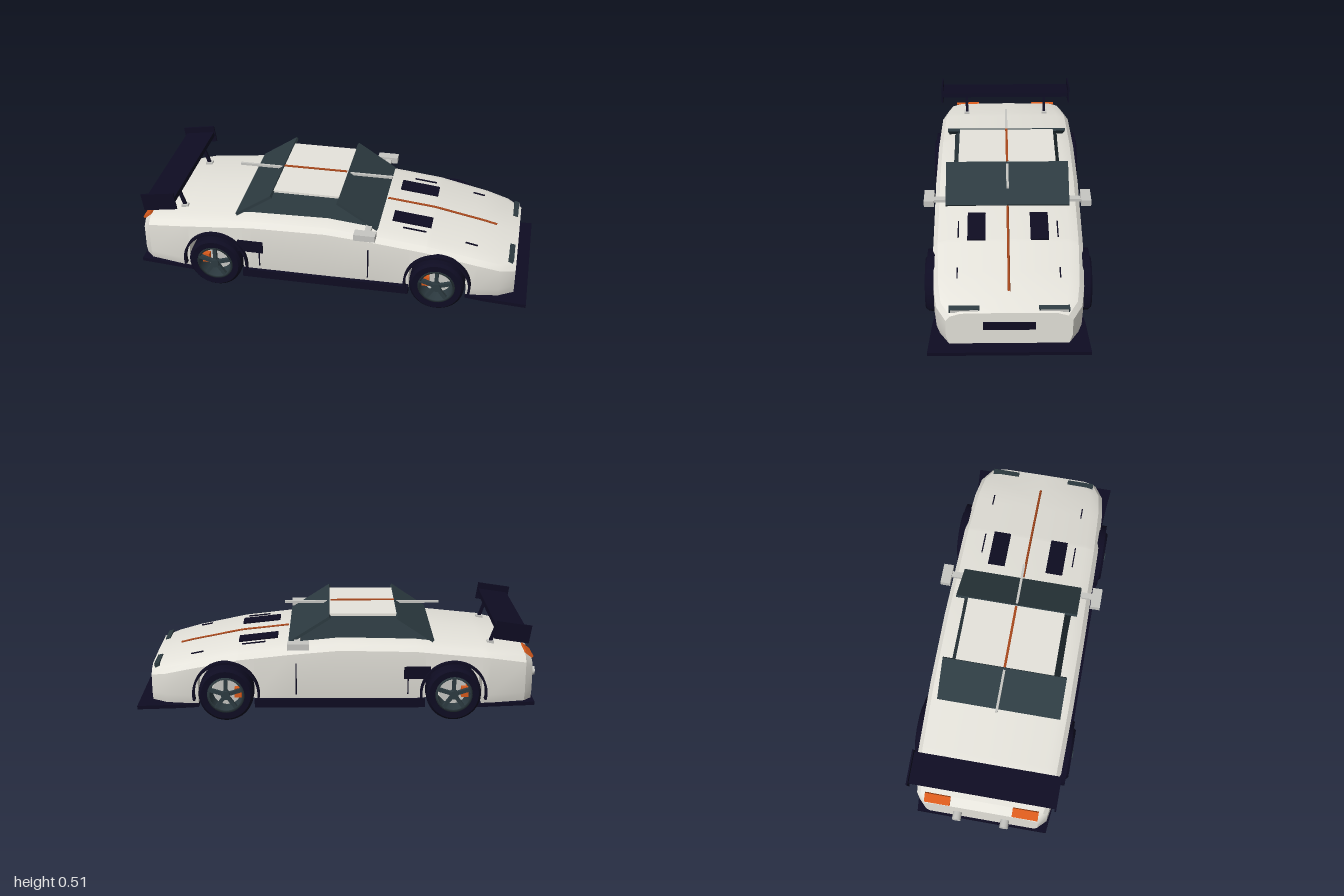
import * as THREE from 'three';
import { toCreasedNormals } from 'three/addons/utils/BufferGeometryUtils.js';

const mat = (name, color) => Object.assign(new THREE.MeshStandardMaterial({ color }), { name });
const WHEEL_X = 0.56, WHEEL_Y = 0.136, ARCH_R = 0.155, FLOOR = 0.07;

// Body stations: x, half width, top height
const STATIONS = [
  [-0.96, 0.285, 0.28], [-0.92, 0.325, 0.318], [-0.74, 0.358, 0.352], [-0.37, 0.365, 0.388],
  [0, 0.365, 0.395], [0.25, 0.362, 0.373], [0.5, 0.36, 0.345], [0.75, 0.35, 0.295],
  [0.86, 0.335, 0.268], [0.935, 0.29, 0.248],
];
function sample(x, k) {
  let i = 0;
  while (i < STATIONS.length - 2 && x > STATIONS[i + 1][0]) i++;
  const a = STATIONS[i], b = STATIONS[i + 1];
  return THREE.MathUtils.lerp(a[k], b[k], (x - a[0]) / (b[0] - a[0]));
}
const topY = (x) => sample(x, 2);

// Lower edge of the flanks, raised over the wheels
function lowerEdge(x) {
  const d = Math.abs(Math.abs(x) - WHEEL_X);
  return d < ARCH_R ? Math.max(FLOOR, WHEEL_Y + Math.sqrt(ARCH_R ** 2 - d * d)) : FLOOR;
}

// Body lofted along x with open wheel wells
function bodyGeometry() {
  const xs = STATIONS.map((s) => s[0]);
  const reach = Math.sqrt(ARCH_R ** 2 - (WHEEL_Y - FLOOR) ** 2);
  for (const c of [-WHEEL_X, WHEEL_X]) {
    for (let i = 0; i <= 20; i++) xs.push(c - Math.cos((i / 20) * Math.PI) * (reach - 0.0005));
    xs.push(c - reach - 0.0005, c + reach + 0.0005);
  }
  xs.sort((a, b) => a - b);
  const pos = [], index = [];
  let n = 0;
  for (const x of xs) {
    const w = sample(x, 1), t = topY(x);
    const inArch = Math.abs(Math.abs(x) - WHEEL_X) < reach;
    const yb = inArch ? lowerEdge(x) : FLOOR;
    const half = [[0.25, FLOOR], [0.25, yb], [inArch ? w : w - 0.015, yb], [w, Math.max(0.12, yb)],
      [w, t - 0.04], [w - 0.022, t - 0.015], [w - 0.07, t]];
    const ring = [[0, FLOOR], ...half, [0, t + 0.003], ...half.map(([z, y]) => [-z, y]).reverse()];
    n = ring.length;
    ring.forEach(([z, y]) => pos.push(x, y, z));
  }
  const last = xs.length - 1;
  for (let i = 0; i < last; i++) {
    for (let j = 0; j < n; j++) {
      const a = i * n + j, b = i * n + ((j + 1) % n);
      index.push(a, a + n, b + n, a, b + n, b);
    }
  }
  // End caps
  pos.push(xs[0], 0.17, 0, xs[last], 0.16, 0);
  const c = (last + 1) * n;
  for (let j = 0; j < n; j++) {
    const k = (j + 1) % n;
    index.push(c, j, k, c + 1, last * n + k, last * n + j);
  }
  const g = new THREE.BufferGeometry();
  g.setAttribute('position', new THREE.Float32BufferAttribute(pos, 3));
  g.setIndex(index);
  return toCreasedNormals(g, 0.5);
}

export function createModel() {
  const white = mat('bodyWhite', 0xe6e4dc), dark = mat('trimNavy', 0x0e0c22);
  const slate = mat('slateGlass', 0x2d3b41), orange = mat('accentOrange', 0xd85a1c);
  const copper = mat('stripeCopper', 0xa8481c), silver = mat('silver', 0xc6c6c2);

  const car = new THREE.Group();
  car.name = 'sportsCar';
  const add = (name, geo, m, parent = car) => {
    const mesh = new THREE.Mesh(geo, m);
    mesh.name = name;
    parent.add(mesh);
    return mesh;
  };
  // Box given by its extents
  const box = (name, m, x0, x1, y0, y1, z0, z1, parent) => {
    const mesh = add(name, new THREE.BoxGeometry(x1 - x0, y1 - y0, Math.abs(z1 - z0)), m, parent);
    mesh.position.set((x0 + x1) / 2, (y0 + y1) / 2, (z0 + z1) / 2);
    return mesh;
  };
  // Slab between two points of the side profile
  const slab = (name, m, x0, y0, x1, y1, z, width, thick) => {
    const mesh = add(name, new THREE.BoxGeometry(Math.hypot(x1 - x0, y1 - y0), thick, width), m);
    mesh.position.set((x0 + x1) / 2, (y0 + y1) / 2, z);
    mesh.rotation.z = Math.atan2(y1 - y0, x1 - x0);
    return mesh;
  };
  // Flat horizontal plate, from (x, z) outline points
  const floorPlate = (name, pts) => {
    const shape = new THREE.Shape(pts.map(([x, z]) => new THREE.Vector2(x, z)));
    const mesh = add(name, new THREE.ExtrudeGeometry(shape, { depth: 0.018, bevelEnabled: false }), dark);
    mesh.rotation.x = -Math.PI / 2;
    mesh.position.y = 0.056;
  };

  add('body', bodyGeometry(), white);
  floorPlate('frontSplitter', [[0.7, -0.345], [0.8, -0.36], [1, -0.375], [1, 0.375], [0.8, 0.36], [0.7, 0.345]]);
  floorPlate('rearDiffuser', [[-0.97, -0.33], [-0.67, -0.36], [-0.67, 0.36], [-0.97, 0.33]]);

  // Cabin: tapered glass, roof and overhanging screens
  const glass = new THREE.BoxGeometry(1, 1, 1), p = glass.attributes.position;
  for (let i = 0; i < p.count; i++) {
    const up = p.getY(i) > 0;
    p.setXYZ(i, p.getX(i) > 0 ? (up ? 0.05 : 0.25) : (up ? -0.28 : -0.46), up ? 0.5 : 0.37,
      Math.sign(p.getZ(i)) * (up ? 0.245 : 0.282));
  }
  glass.computeVertexNormals();
  add('cabinGlass', glass, slate);
  box('roof', white, -0.28, 0.05, 0.495, 0.508, -0.246, 0.246);
  slab('windshield', slate, 0.05, 0.506, 0.25, 0.377, 0, 0.615, 0.014);
  slab('rearWindow', slate, -0.46, 0.385, -0.28, 0.506, 0, 0.62, 0.014);
  box('roofStripe', copper, -0.28, 0.045, 0.506, 0.513, -0.006, 0.006);
  box('roofBar', silver, -0.51, 0.28, 0.494, 0.506, -0.006, 0.006);

  // Hood stripe follows the hood line
  const path = new THREE.CatmullRomCurve3([0.26, 0.4, 0.5, 0.65, 0.75, 0.82].map((x) => new THREE.Vector3(x, topY(x) + 0.005, 0)));
  add('hoodStripe', new THREE.TubeGeometry(path, 24, 0.006, 8), copper);

  box('noseGrille', dark, 0.93, 0.94, 0.156, 0.198, -0.12, 0.12);

  // Rear wing
  const wing = new THREE.Group();
  wing.name = 'rearWing';
  wing.position.set(-0.84, 0.447, 0);
  wing.rotation.z = 0.15;
  car.add(wing);
  box('wingBlade', dark, -0.075, 0.08, -0.012, 0.012, -0.355, 0.355, wing);

  // Tyre profile: radius, offset along the axle
  const tireGeo = toCreasedNormals(new THREE.LatheGeometry([[0.092, -0.062], [0.122, -0.064], [0.134, -0.05],
    [0.136, -0.03], [0.136, 0.03], [0.134, 0.05], [0.122, 0.064], [0.092, 0.062], [0.092, -0.062]]
    .map(([r, y]) => new THREE.Vector2(r, y)), 40).rotateX(Math.PI / 2), 0.6);
  const rimGeo = new THREE.LatheGeometry([[0.08, -0.06], [0.093, -0.06], [0.093, 0.06], [0.08, 0.06], [0.08, -0.06]]
    .map(([r, y]) => new THREE.Vector2(r, y)), 40).rotateX(Math.PI / 2);
  const discGeo = new THREE.CylinderGeometry(0.07, 0.07, 0.012, 32).rotateX(Math.PI / 2);
  const hubGeo = new THREE.CylinderGeometry(0.022, 0.022, 0.03, 16).rotateX(Math.PI / 2);
  // Arch lip band
  const lip = new THREE.Shape();
  lip.absarc(0, 0, 0.166, -0.2, Math.PI + 0.2, false);
  lip.absarc(0, 0, 0.155, Math.PI + 0.2, -0.2, true);
  const lipGeo = new THREE.ExtrudeGeometry(lip, { depth: 0.035, bevelEnabled: false, curveSegments: 28 });

  for (const s of [1, -1]) {
    const side = s > 0 ? 'left' : 'right';
    const sbox = (name, m, x0, x1, y0, y1, z0, z1) => box(side + name, m, x0, x1, y0, y1, s * z0, s * z1);

    // Wheels and arches
    for (const x of [-WHEEL_X, WHEEL_X]) {
      const wheel = new THREE.Group();
      wheel.name = side + (x > 0 ? 'FrontWheel' : 'RearWheel');
      wheel.position.set(x, WHEEL_Y, s * 0.333);
      car.add(wheel);
      add('tire', tireGeo, dark, wheel);
      add('rim', rimGeo, slate, wheel);
      add('brakeDisc', discGeo, silver, wheel).position.z = s * -0.01;
      add('hub', hubGeo, slate, wheel).position.z = s * 0.055;
      box('brakeCaliper', orange, -0.075, -0.04, -0.025, 0.025, s * -0.03, s * 0.025, wheel);
      for (let i = 0; i < 5; i++) {
        const a = Math.PI / 2 + (i / 5) * Math.PI * 2;
        const spoke = box('spoke', slate, -0.036, 0.036, -0.009, 0.009, s * 0.042, s * 0.06, wheel);
        spoke.position.x = Math.cos(a) * 0.05;
        spoke.position.y = Math.sin(a) * 0.05;
        spoke.rotation.z = a;
      }
      add(side + 'ArchLip', lipGeo, dark).position.set(x, WHEEL_Y, s > 0 ? 0.35 : -0.385);
    }

    // Flank details
    sbox('SideSkirt', dark, -0.42, 0.42, 0.065, 0.108, 0.345, 0.38);
    sbox('SideIntake', dark, -0.445, -0.315, 0.21, 0.272, 0.35, 0.372);
    sbox('DoorFrontSeam', dark, 0.212, 0.218, 0.13, 0.29, 0.36, 0.3665);
    sbox('DoorRearSeam', dark, -0.338, -0.332, 0.13, 0.21, 0.36, 0.3675);

    // Mirrors
    sbox('Mirror', silver, 0.15, 0.255, 0.373, 0.405, 0.365, 0.415);
    sbox('MirrorArm', silver, 0.195, 0.225, 0.381, 0.396, 0.25, 0.37);

    // Lamps and exhaust
    const head = sbox('Headlight', slate, 0.895, 0.92, 0.24, 0.263, 0.135, 0.275);
    head.rotation.z = -0.2;
    sbox('HeadlightLens', silver, 0.918, 0.924, 0.244, 0.257, 0.142, 0.268);
    slab(side + 'TailLight', orange, -0.958, 0.292, -0.92, 0.322, s * 0.218, 0.128, 0.012);
    const pipe = add(side + 'Exhaust', new THREE.CylinderGeometry(0.022, 0.022, 0.06, 20), silver);
    pipe.rotation.z = Math.PI / 2;
    pipe.position.set(-0.97, 0.165, s * 0.12);

    // Hood vent and pins
    const strip = (name, x0, x1, z, width, thick) =>
      slab(side + name, dark, x0, topY(x0) + 0.004, x1, topY(x1) + 0.004, s * z, width, thick);
    strip('HoodVent', 0.31, 0.505, 0.152, 0.088, 0.012);
    strip('HoodSeamRear', 0.37, 0.485, 0.24, 0.006, 0.006);
    strip('HoodSeamFront', 0.68, 0.74, 0.24, 0.006, 0.006);

    // Wing end plates and struts
    box(side + 'WingEndPlate', dark, -0.086, 0.086, -0.045, 0.045, s * 0.355, s * 0.363, wing);
    slab(side + 'WingStrut', dark, -0.75, 0.35, -0.785, 0.45, s * 0.22, 0.014, 0.016);
    sbox('WingMount', silver, -0.77, -0.735, 0.345, 0.362, 0.207, 0.235);
  }
  return car;
}
